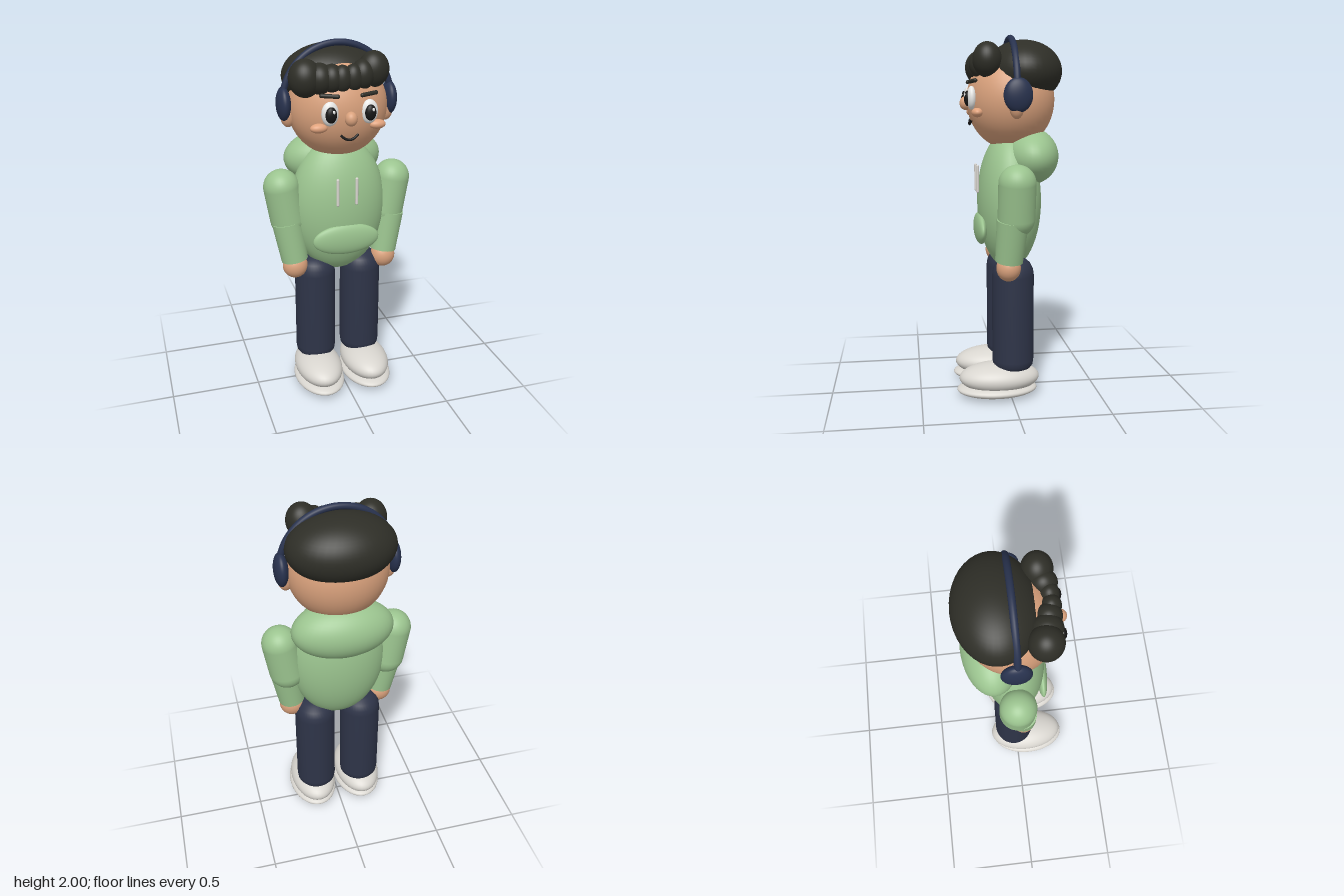
import * as THREE from 'three';

const mat = (name, color) => Object.assign(new THREE.MeshStandardMaterial({ color }), { name });

export function createModel() {
  const M = {
    skin: mat('skin', 0xd9a17c), cheek: mat('cheek', 0xe0a27c), hair: mat('hair', 0x2e2e27),
    hoodie: mat('hoodie green', 0x9bc48f), navy: mat('trouser navy', 0x2e3448),
    phones: mat('headphone blue', 0x28324e), shoe: mat('shoe grey', 0xd8d5cf),
    white: mat('eye white', 0xeeeeec), black: mat('ink black', 0x171717),
  };
  const root = new THREE.Group();
  root.name = 'figure';

  const add = (name, geo, material, pos = [0, 0, 0]) => {
    const m = new THREE.Mesh(geo, material);
    m.name = name;
    m.position.set(...pos);
    root.add(m);
    return m;
  };
  // Ellipsoid with separate radii
  const blob = (name, material, pos, r) =>
    add(name, new THREE.SphereGeometry(1, 40, 28).scale(...r), material, pos);
  // Capsule or tapered cylinder between two points
  const limb = (name, material, a, b, r0, r1, capped) => {
    const p = new THREE.Vector3(...a), q = new THREE.Vector3(...b);
    const d = q.clone().sub(p), len = d.length();
    const geo = capped ? new THREE.CapsuleGeometry(r0, len, 12, 32)
      : new THREE.CylinderGeometry(r1, r0, len, 32);
    const m = add(name, geo, material, p.clone().add(q).multiplyScalar(0.5).toArray());
    m.quaternion.setFromUnitVectors(new THREE.Vector3(0, 1, 0), d.normalize());
    return m;
  };

  // Hoodie body, hood, pocket
  blob('torso', M.hoodie, [0, 1.09, -0.012], [0.27, 0.39, 0.178]);
  blob('hood', M.hoodie, [0, 1.34, -0.125], [0.277, 0.16, 0.16]);
  blob('pocket', M.hoodie, [0, 0.937, 0.152], [0.188, 0.088, 0.034]);

  // Head, nose, hair cap
  blob('head', M.skin, [0, 1.65, -0.02], [0.27, 0.272, 0.243]);
  blob('nose', M.skin, [0, 1.632, 0.228], [0.033, 0.038, 0.034]);
  blob('hairCap', M.hair, [0, 1.803, -0.09], [0.285, 0.172, 0.212]);

  // Row of fringe curls: x, y, z, rx, ry, rz
  [
    [-0.213, 1.832, 0.125, 0.086, 0.098, 0.087],
    [-0.14, 1.828, 0.138, 0.07, 0.08, 0.078],
    [-0.08, 1.828, 0.152, 0.06, 0.074, 0.066],
    [-0.03, 1.828, 0.17, 0.052, 0.07, 0.05],
    [0.03, 1.83, 0.168, 0.052, 0.07, 0.05],
    [0.085, 1.84, 0.148, 0.062, 0.078, 0.068],
    [0.152, 1.86, 0.125, 0.082, 0.094, 0.078],
  ].forEach(([x, y, z, ...r]) => blob('fringeCurl', M.hair, [x, y, z], r));

  // Headband arch
  add('headband', new THREE.TorusGeometry(0.3, 0.018, 14, 64, Math.PI), M.phones, [0, 1.682, -0.015]);

  // Smile
  const smile = new THREE.QuadraticBezierCurve3(
    new THREE.Vector3(-0.047, 1.543, 0.2), new THREE.Vector3(0, 1.492, 0.215), new THREE.Vector3(0.047, 1.543, 0.2));
  add('smile', new THREE.TubeGeometry(smile, 24, 0.007, 10), M.black);

  // Trouser leg profile, soft at both ends
  const legProfile = [[0, 0.16], [0.1, 0.163], [0.112, 0.18], [0.116, 0.21], [0.116, 0.69], [0.111, 0.725],
    [0.096, 0.757], [0.07, 0.779], [0.035, 0.788], [0, 0.79]].map(([x, y]) => new THREE.Vector2(x, y));

  for (const s of [-1, 1]) {
    // Face details
    blob('eye', M.white, [s * 0.105, 1.66, 0.205], [0.046, 0.063, 0.027]);
    blob('pupil', M.black, [s * 0.105, 1.658, 0.225], [0.03, 0.042, 0.021]);
    blob('eyeGlint', M.white, [s * 0.105 + 0.01, 1.675, 0.241], [0.008, 0.01, 0.005]);
    blob('cheek', M.cheek, [s * 0.158, 1.583, 0.18], [0.046, 0.025, 0.03]);
    limb('brow', M.hair, [s * 0.065, 1.747, 0.21], [s * 0.145, 1.752, 0.188], 0.011, 0.011, true);

    // Ears and headphone cups
    blob('ear', M.skin, [s * 0.273, 1.62, -0.015], [0.043, 0.07, 0.04]);
    blob('earCup', M.phones, [s * 0.295, 1.674, -0.02], [0.038, 0.091, 0.077]);

    // Arms
    limb('upperArm', M.hoodie, [s * 0.32, 1.218, -0.012], [s * 0.288, 1.03, -0.012], 0.1, 0.1, true);
    limb('forearm', M.hoodie, [s * 0.298, 1.02, 0.008], [s * 0.263, 0.795, 0.024], 0.086, 0.075, false);
    blob('hand', M.skin, [s * 0.262, 0.757, 0.026], [0.071, 0.072, 0.066]);

    // Drawstrings
    limb('drawstring', M.shoe, [s * 0.053, 1.148, 0.17], [s * 0.053, 1.288, 0.17], 0.008, 0.008, true);

    // Legs and shoes
    add('leg', new THREE.LatheGeometry(legProfile, 40), M.navy, [s * 0.136, 0, -0.016]);
    blob('shoe', M.shoe, [s * 0.143, 0.107, 0.062], [0.134, 0.083, 0.225]);
    blob('sole', M.shoe, [s * 0.143, 0.042, 0.075], [0.142, 0.042, 0.225]);
  }
  return root;
}
